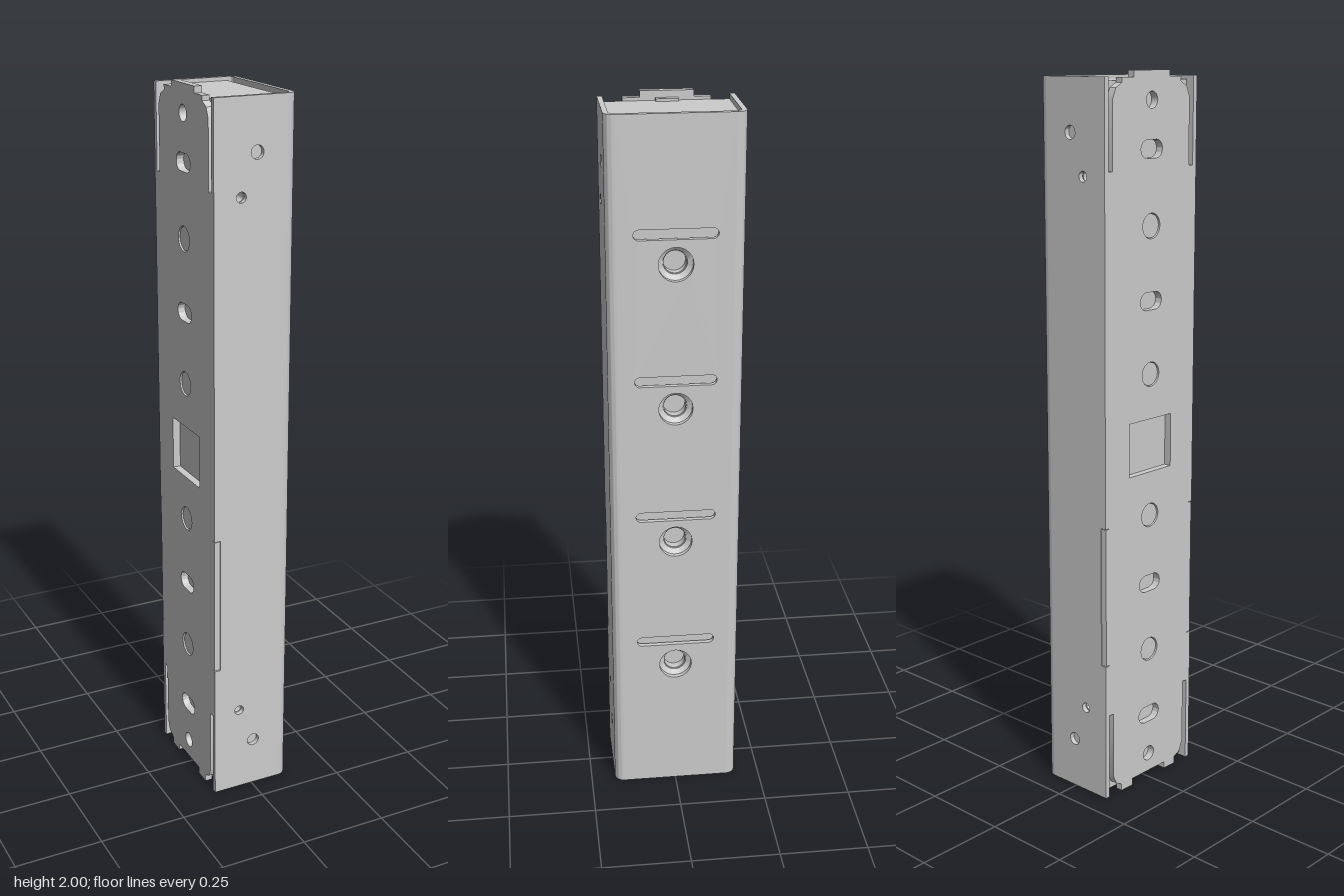
import * as THREE from 'three';
import { toCreasedNormals } from 'three/addons/utils/BufferGeometryUtils.js';

const H = 1.985, X0 = -0.117, X1 = 0.117, Z = 0.18, WALL = 0.014, R = 0.027;
const LOCKS = [0.4, 0.8, 1.2, 1.6];
const PINS = [0.255, 1.735], SCREWS = [0.145, 1.845];

const material = new THREE.MeshStandardMaterial({ color: 0xcccccc, side: THREE.DoubleSide });

function add(group, name, geometry) {
  const mesh = new THREE.Mesh(geometry, material);
  mesh.name = name;
  group.add(mesh);
  return mesh;
}
const polygon = (pts) => new THREE.Shape(pts.map(([x, y]) => new THREE.Vector2(x, y)));
const rect = (x0, y0, x1, y1) => polygon([[x0, y0], [x1, y0], [x1, y1], [x0, y1]]);
const circle = (x, y, r) => new THREE.Path().absarc(x, y, r, 0, Math.PI * 2, true);
// Horizontal slot with round ends
const slot = (x, y, half, r) => new THREE.Path()
  .absarc(x + half - r, y, r, -Math.PI / 2, Math.PI / 2, false)
  .absarc(x - half + r, y, r, Math.PI / 2, Math.PI * 1.5, false).closePath();

function extrude(shape, depth, options = {}) {
  return toCreasedNormals(new THREE.ExtrudeGeometry(shape,
    { depth, bevelEnabled: false, curveSegments: 12, ...options }), 0.6);
}
// Panel drawn in (z, y) and thickened from x to x + depth
const panelX = (shape, x, depth) => extrude(shape, depth).rotateY(Math.PI / 2).translate(x, 0, 0);

function createCover() {
  const cover = new THREE.Group();
  cover.name = 'cover';

  // Web with lock openings and slots
  const web = rect(-Z + R, 0, Z - R, H);
  for (const y of LOCKS) web.holes.push(circle(0, y, 0.046), slot(0, y + 0.08, 0.11, 0.014));
  add(cover, 'coverWeb', panelX(web, X1 - WALL, WALL));

  // Side walls, notched at the rear edge
  const side = polygon([[X0, 0], [X1 - R, 0], [X1 - R, H], [X0, H],
    [X0, 0.8], [-0.1, 0.8], [-0.1, 0.4], [X0, 0.4]]);
  for (const y of PINS) side.holes.push(circle(-0.04, y, 0.014));
  for (const y of SCREWS) side.holes.push(circle(0.005, y, 0.018));
  for (const z of [Z - WALL, -Z]) add(cover, 'coverSide', extrude(side, WALL).translate(0, 0, z));

  // Rounded bends between web and sides
  for (const s of [1, -1]) {
    const bend = new THREE.Shape();
    bend.absarc(X1 - R, s * (Z - R), R, 0, s * Math.PI / 2, s < 0);
    bend.absarc(X1 - R, s * (Z - R), R - WALL, s * Math.PI / 2, 0, s > 0);
    bend.closePath();
    add(cover, 'coverBend', extrude(bend, H).rotateX(-Math.PI / 2));
  }
  return cover;
}

function createBody() {
  const body = new THREE.Group();
  body.name = 'body';
  const y0 = 0.01, y1 = 1.975, b = 0.008;

  // Main block, pierced by the cross pins
  const block = rect(-0.095, y0, 0.066, y1);
  for (const y of PINS) block.holes.push(circle(-0.04, y, 0.014));
  add(body, 'bodyBlock', extrude(block, 0.326).translate(0, 0, -0.163));

  // Front slab with lock bores and rounded long edges
  const slab = rect(-0.163 + b, y0, 0.163 - b, y1);
  for (const y of LOCKS) slab.holes.push(circle(0, y, 0.03));
  add(body, 'bodyFront', panelX(slab, 0.066, 0.024));
  for (const s of [1, -1]) {
    add(body, 'bodyEdge', new THREE.BoxGeometry(0.016, y1 - y0, b))
      .position.set(0.074, (y0 + y1) / 2, s * (0.163 - b / 2));
    add(body, 'bodyRound', new THREE.CylinderGeometry(b, b, y1 - y0, 16))
      .position.set(0.082, (y0 + y1) / 2, s * (0.163 - b));
  }

  // Countersunk lock bushings
  const profile = [[0.05, 0.088], [0.05, 0.103], [0.045, 0.103], [0.032, 0.094], [0.03, 0.066]]
    .map(([r, x]) => new THREE.Vector2(r, x));
  for (const y of LOCKS) {
    const bush = toCreasedNormals(new THREE.LatheGeometry(profile, 32), 0.5).rotateZ(-Math.PI / 2);
    add(body, 'lockBushing', bush).position.y = y;
  }

  // Side spacers behind the screw holes
  for (const y of SCREWS) for (const s of [1, -1]) {
    add(body, 'sideSpacer', new THREE.CylinderGeometry(0.05, 0.05, 0.004, 32).rotateX(Math.PI / 2))
      .position.set(0.02, y, s * 0.164);
  }
  return body;
}

function createBackPlate() {
  const plate = new THREE.Group();
  plate.name = 'backPlate';

  // Half outline from bottom centre to top centre, then mirrored
  const half = [[0.07, 0.02], [0.07, 0], [0.115, 0], [0.115, 0.02], [0.138, 0.032], [0.15, 0.06],
    [0.15, 0.25], [0.166, 0.25], [0.166, 0.402], [0.178, 0.402], [0.178, 0.798], [0.166, 0.798],
    [0.166, 1.75], [0.15, 1.75], [0.15, 1.93], [0.138, 1.958], [0.115, 1.97],
    [0.115, 1.983], [0.07, 1.983], [0.07, 2]];
  const outline = polygon([...half, ...half.map(([z, y]) => [-z, y]).reverse()]);

  const plugs = [0.4, 0.8, 1.2, 1.6];
  for (const y of [0.075, 1.925]) outline.holes.push(circle(0, y, 0.022));
  for (const y of [0.2, 0.6, 1.4, 1.8]) outline.holes.push(slot(0, y, 0.042, 0.024));
  for (const y of plugs) outline.holes.push(circle(0, y, 0.034));
  outline.holes.push(rect(-0.085, 0.925, 0.085, 1.075));
  add(plate, 'plateSheet', panelX(outline, X0, 0.021));

  // Plugs set just below the plate surface
  for (const y of plugs) {
    add(plate, 'platePlug', new THREE.CylinderGeometry(0.032, 0.032, 0.016, 32).rotateZ(Math.PI / 2))
      .position.set(-0.105, y, 0);
  }
  // Small hook over the top of the body
  add(plate, 'topHook', new THREE.BoxGeometry(0.02, 0.008, 0.06)).position.set(-0.089, 1.978, 0);
  return plate;
}

export function createModel() {
  const model = new THREE.Group();
  model.name = 'lockHousing';
  model.add(createCover(), createBody(), createBackPlate());
  return model;
}
